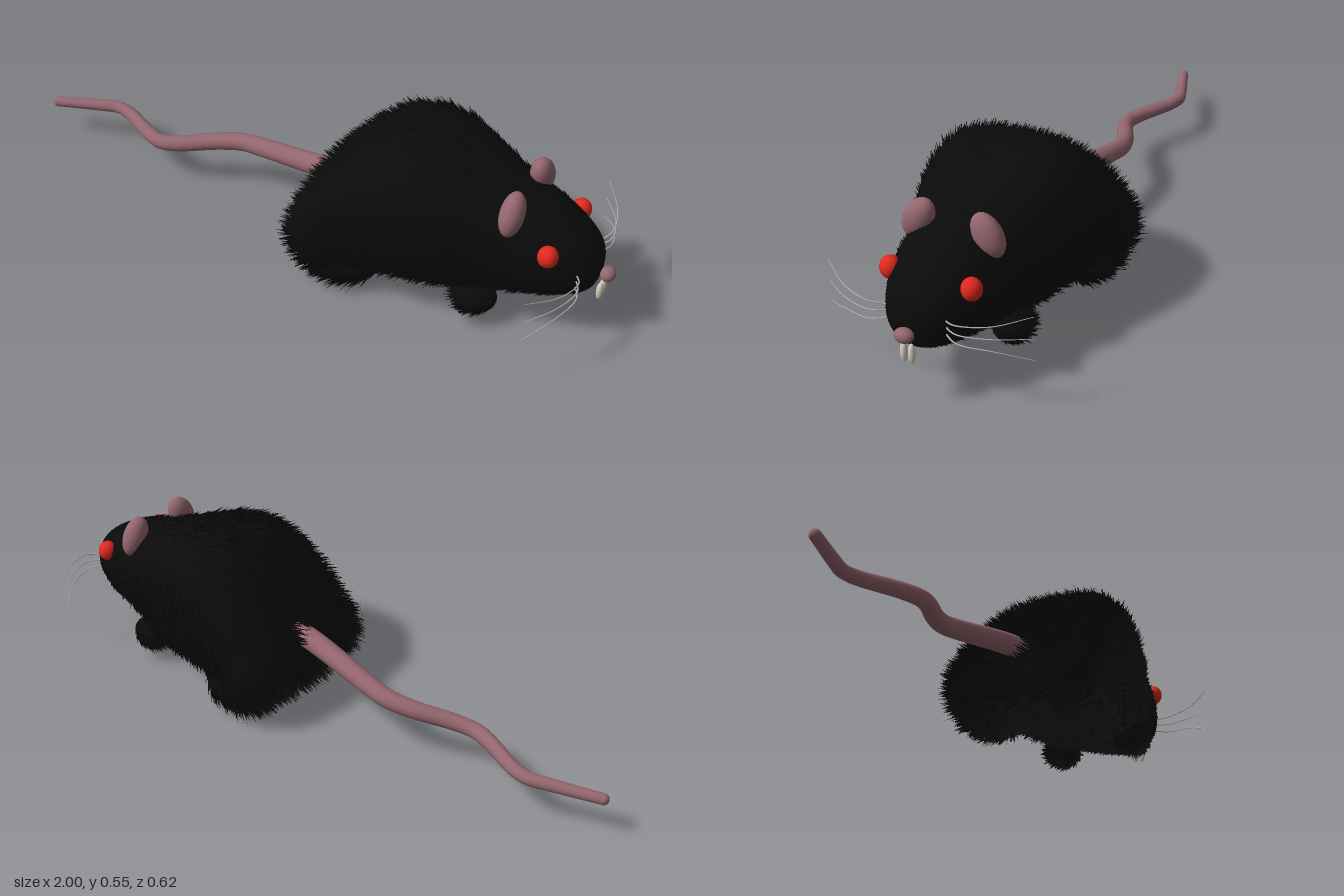
import * as THREE from 'three';

const mat = (name, color, side = THREE.FrontSide) => {
  const m = new THREE.MeshStandardMaterial({ color, side });
  m.name = name;
  return m;
};

// Small seeded random generator for the fur
function seeded(seed) {
  return () => {
    seed = (seed * 1664525 + 1013904223) >>> 0;
    return seed / 4294967296;
  };
}

// Body skin lofted along x: [x, half width, bottom, top, squareness]
const SECTIONS = [
  [0.095, 0.004, 0.15, 0.16, 2.4], [0.10, 0.13, 0.11, 0.225, 2.6],
  [0.125, 0.205, 0.085, 0.265, 2.8], [0.20, 0.24, 0.07, 0.36, 2.9],
  [0.28, 0.235, 0.07, 0.45, 2.9], [0.36, 0.24, 0.085, 0.495, 2.9],
  [0.44, 0.235, 0.09, 0.505, 2.9], [0.54, 0.215, 0.09, 0.48, 2.8],
  [0.64, 0.18, 0.10, 0.445, 2.6], [0.72, 0.157, 0.11, 0.42, 2.4],
  [0.80, 0.142, 0.125, 0.397, 2.3], [0.87, 0.118, 0.14, 0.365, 2.2],
  [0.92, 0.088, 0.16, 0.33, 2.1], [0.945, 0.055, 0.185, 0.295, 2],
  [0.957, 0.003, 0.235, 0.24, 2],
];

function bodyGeometry() {
  const widths = new THREE.CatmullRomCurve3(
    SECTIONS.map(([x, w, , , n]) => new THREE.Vector3(x, w, n)), false, 'catmullrom');
  const heights = new THREE.CatmullRomCurve3(
    SECTIONS.map(([x, , b, t]) => new THREE.Vector3(x, b, t)), false, 'catmullrom');
  const rings = 56, sides = 40, pos = [], index = [];
  for (let i = 0; i <= rings; i++) {
    const { x, y: w, z: n } = widths.getPoint(i / rings);
    const { y: bottom, z: top } = heights.getPoint(i / rings);
    const power = (v) => Math.sign(v) * Math.abs(v) ** (2 / n);
    for (let j = 0; j < sides; j++) {
      const a = (j / sides) * Math.PI * 2;
      pos.push(x, (top + bottom) / 2 + power(Math.cos(a)) * (top - bottom) / 2, power(Math.sin(a)) * w);
      if (i < rings) {
        const k = (j + 1) % sides, p = i * sides, q = p + sides;
        index.push(p + j, p + k, q + j, p + k, q + k, q + j);
      }
    }
  }
  const g = new THREE.BufferGeometry();
  g.setAttribute('position', new THREE.Float32BufferAttribute(pos, 3));
  g.setIndex(index);
  g.computeVertexNormals();
  return g;
}

// Scatter swept-back triangular tufts over any geometry, evenly by area
function furGeometry(skin, count, seed) {
  const rnd = seeded(seed), g = skin.toNonIndexed();
  const P = g.attributes.position, N = g.attributes.normal;
  const v = [0, 1, 2].map(() => new THREE.Vector3());
  const tri = new THREE.Triangle(), areas = [];
  let total = 0;
  for (let i = 0; i < P.count; i += 3) {
    tri.setFromAttributeAndIndices(P, i, i + 1, i + 2);
    areas.push(total += tri.getArea());
  }
  const pos = [], nor = [];
  let face = 0;
  for (let k = 0; k < count; k++) {
    const target = ((k + rnd()) / count) * total;
    while (face < areas.length - 1 && areas[face] < target) face++;
    let a = rnd(), b = rnd();
    if (a + b > 1) { a = 1 - a; b = 1 - b; }
    const mix = (attr) => {
      v.forEach((p, i) => p.fromBufferAttribute(attr, face * 3 + i));
      return v[0].clone().multiplyScalar(1 - a - b).addScaledVector(v[1], a).addScaledVector(v[2], b);
    };
    const p = mix(P), n = mix(N).normalize();
    const back = THREE.MathUtils.clamp((0.95 - p.x) / 0.8, 0, 1);
    const length = (0.014 + 0.062 * back) * (0.65 + 0.6 * rnd());
    const dir = new THREE.Vector3(-0.85, -0.15, 0).addScaledVector(n, 0.3 + 0.3 * back);
    dir.add(new THREE.Vector3(rnd() - 0.5, rnd() - 0.5, rnd() - 0.5).multiplyScalar(0.45)).normalize();
    const side = new THREE.Vector3().crossVectors(dir, n).normalize()
      .applyAxisAngle(dir, (rnd() - 0.5) * 2.4).multiplyScalar(0.003 + 0.004 * back);
    const root = p.clone().addScaledVector(n, -0.004);
    const tip = p.clone().addScaledVector(dir, length);
    tip.y = Math.max(tip.y, 0.004 + 0.012 * rnd());
    for (const q of [root.clone().add(side), root.clone().sub(side), tip]) {
      pos.push(q.x, q.y, q.z);
      nor.push(n.x, n.y, n.z);
    }
  }
  const fur = new THREE.BufferGeometry();
  fur.setAttribute('position', new THREE.Float32BufferAttribute(pos, 3));
  fur.setAttribute('normal', new THREE.Float32BufferAttribute(nor, 3));
  return fur;
}

// Tube narrowing from r0 to r1 along a curve
function taperedTube(curve, segments, r0, r1, sides) {
  const g = new THREE.TubeGeometry(curve, segments, 1, sides);
  const P = g.attributes.position, p = new THREE.Vector3();
  for (let i = 0; i < P.count; i++) {
    const t = Math.floor(i / (sides + 1)) / segments, c = curve.getPointAt(t);
    p.fromBufferAttribute(P, i).sub(c).multiplyScalar(r0 + (r1 - r0) * t).add(c);
    P.setXYZ(i, p.x, p.y, p.z);
  }
  return g;
}

const ellipsoid = (rx, ry, rz, tilt = 0) =>
  new THREE.SphereGeometry(1, 28, 20).scale(rx, ry, rz).rotateX(tilt);

const path = (points) =>
  new THREE.CatmullRomCurve3(points.map((p) => new THREE.Vector3(...p)));

export function createModel() {
  const model = new THREE.Group();
  model.name = 'rat';
  const skinBlack = mat('black skin', 0x0a0a0a);
  const furBlack = mat('black fur', 0x0a0a0a, THREE.DoubleSide);
  const pink = mat('dusky pink', 0x94666f);
  const red = mat('eye red', 0xe0291e);
  const ivory = mat('tooth ivory', 0xd9d2bf);
  const grey = mat('whisker grey', 0xb4b4b4);
  const add = (name, geometry, material) => {
    const m = new THREE.Mesh(geometry, material);
    m.name = name;
    model.add(m);
    return m;
  };
  const furry = (name, geometry, tufts, seed) => {
    add(name, geometry, skinBlack);
    add(name + 'Fur', furGeometry(geometry, tufts, seed), furBlack);
  };

  furry('body', bodyGeometry(), 24000, 7);

  // Paired parts
  for (const s of [1, -1]) {
    const side = s > 0 ? 'left' : 'right';
    furry(side + 'FrontFoot', ellipsoid(0.055, 0.045, 0.05).translate(0.645, 0.093, s * 0.13), 1200, 11 + s);
    furry(side + 'HindFoot', ellipsoid(0.1, 0.045, 0.065).translate(0.235, 0.085, s * 0.165), 1800, 21 + s);
    furry(side + 'Haunch', ellipsoid(0.085, 0.09, 0.07).translate(0.18, 0.16, s * 0.18), 1800, 31 + s);
    add(side + 'Ear', ellipsoid(0.035, 0.067, 0.043, -s * 0.5).translate(0.712, 0.412, s * 0.106), pink);
    add(side + 'Eye', ellipsoid(0.03, 0.033, 0.03).translate(0.835, 0.322, s * 0.122), red);
    add(side + 'Tooth', ellipsoid(0.01, 0.031, 0.0105).translate(0.963, 0.168, s * 0.012), ivory);

    // Whiskers: root, middle and tip heights
    [[0.258, 0.283, 0.302], [0.242, 0.244, 0.234], [0.222, 0.207, 0.167]].forEach(([y0, y1, y2], i) => {
      const curve = path([[0.905, y0, s * 0.075], [0.935, (y0 + y1) / 2 + 0.003, s * 0.13],
        [0.912, y1, s * 0.22], [0.85, y2, s * 0.31]]);
      add(side + 'Whisker' + (i + 1), taperedTube(curve, 20, 0.0025, 0.001, 6), grey);
    });
  }

  add('nose', ellipsoid(0.022, 0.021, 0.028).translate(0.976, 0.23, 0), pink);

  // Wavy tail with a rounded tip
  const tailPath = path([[0.17, 0.25, 0], [0.02, 0.232, -0.01], [-0.2, 0.195, -0.04], [-0.28, 0.182, -0.046],
    [-0.36, 0.168, -0.025], [-0.48, 0.146, 0.027], [-0.54, 0.138, 0.039], [-0.6, 0.137, 0.022],
    [-0.73, 0.136, -0.04], [-0.78, 0.135, -0.048], [-0.83, 0.133, -0.034], [-0.985, 0.125, 0.018]]);
  add('tail', taperedTube(tailPath, 90, 0.037, 0.017, 18), pink);
  add('tailTip', ellipsoid(0.017, 0.017, 0.017).translate(-0.985, 0.125, 0.018), pink);

  return model;
}
